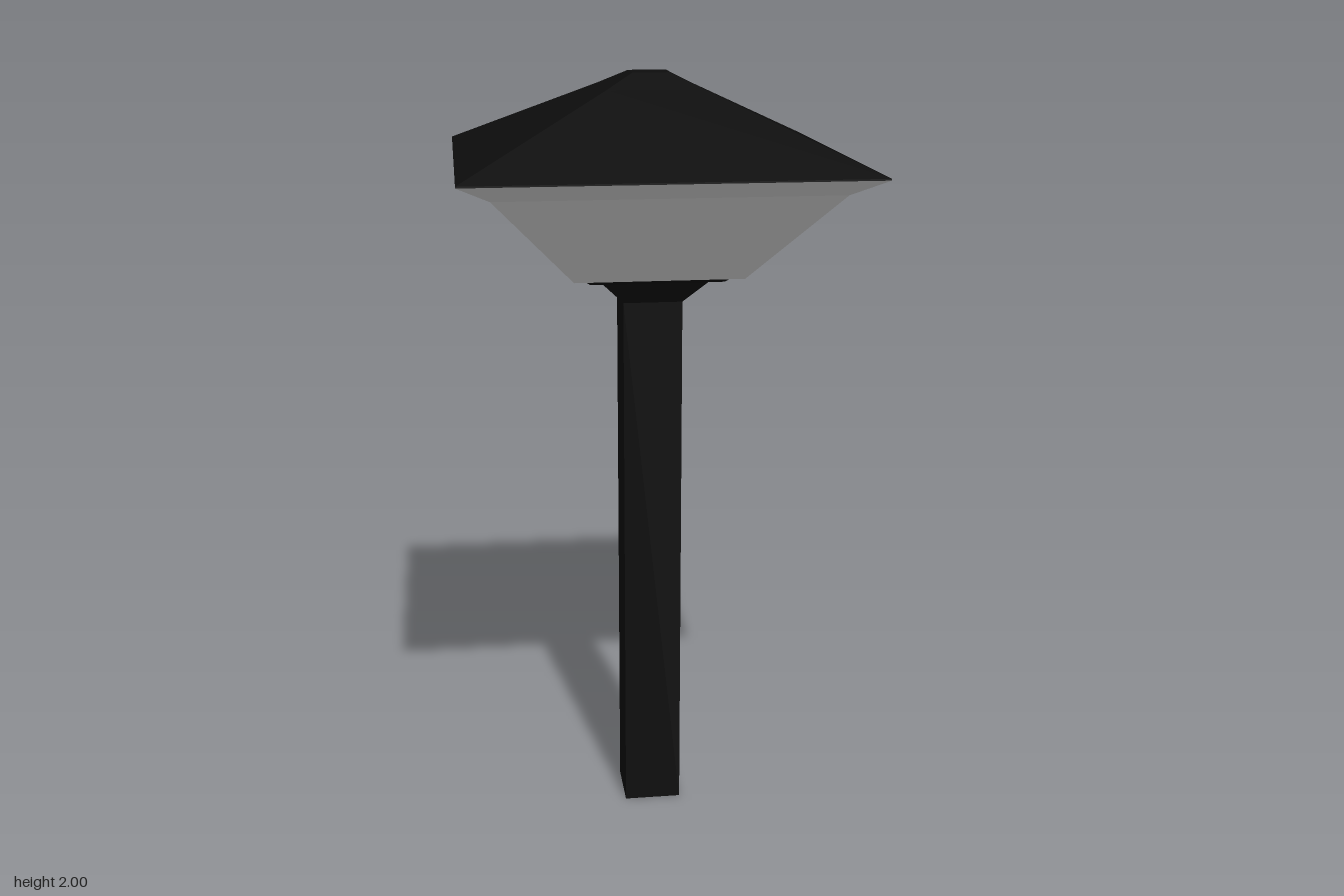
import * as THREE from 'three';

const black = new THREE.MeshStandardMaterial({ color: 0x0c0c0c, flatShading: true });
const grey = new THREE.MeshStandardMaterial({ color: 0xcccccc, flatShading: true });

// Square solid swept from a [half width, height] profile, listed from bottom to top
function squareLathe(name, profile, material) {
  const points = profile.map(([half, y]) => new THREE.Vector2(half * Math.SQRT2, y));
  const geometry = new THREE.LatheGeometry(points, 4, Math.PI / 4).toNonIndexed();
  geometry.computeVertexNormals();
  const mesh = new THREE.Mesh(geometry, material);
  mesh.name = name;
  return mesh;
}

export function createModel() {
  const lamp = new THREE.Group();
  lamp.name = 'lampPost';
  lamp.add(
    // Post with a pale foot
    squareLathe('postFoot', [[0, 0], [0.076, 0]], grey),
    squareLathe('post', [[0.076, 0], [0.076, 1.43]], black),
    // Flared bracket, stepped collar and lantern floor
    squareLathe('bracket', [[0.076, 1.43], [0.14, 1.498]], black),
    squareLathe('collar', [[0.14, 1.498], [0.168, 1.498], [0.187, 1.513]], black),
    squareLathe('lanternFloor', [[0.187, 1.513], [0.212, 1.513]], black),
    // Sloping panes and the flatter eave above them
    squareLathe('panes', [[0.212, 1.513], [0.415, 1.745]], grey),
    squareLathe('eave', [[0.415, 1.745], [0.492, 1.788]], grey),
    // Pyramid roof, steeper near its flat top
    squareLathe('roof', [[0.492, 1.788], [0.492, 1.792], [0.12, 1.964], [0.048, 2], [0, 2]], black),
  );
  return lamp;
}
